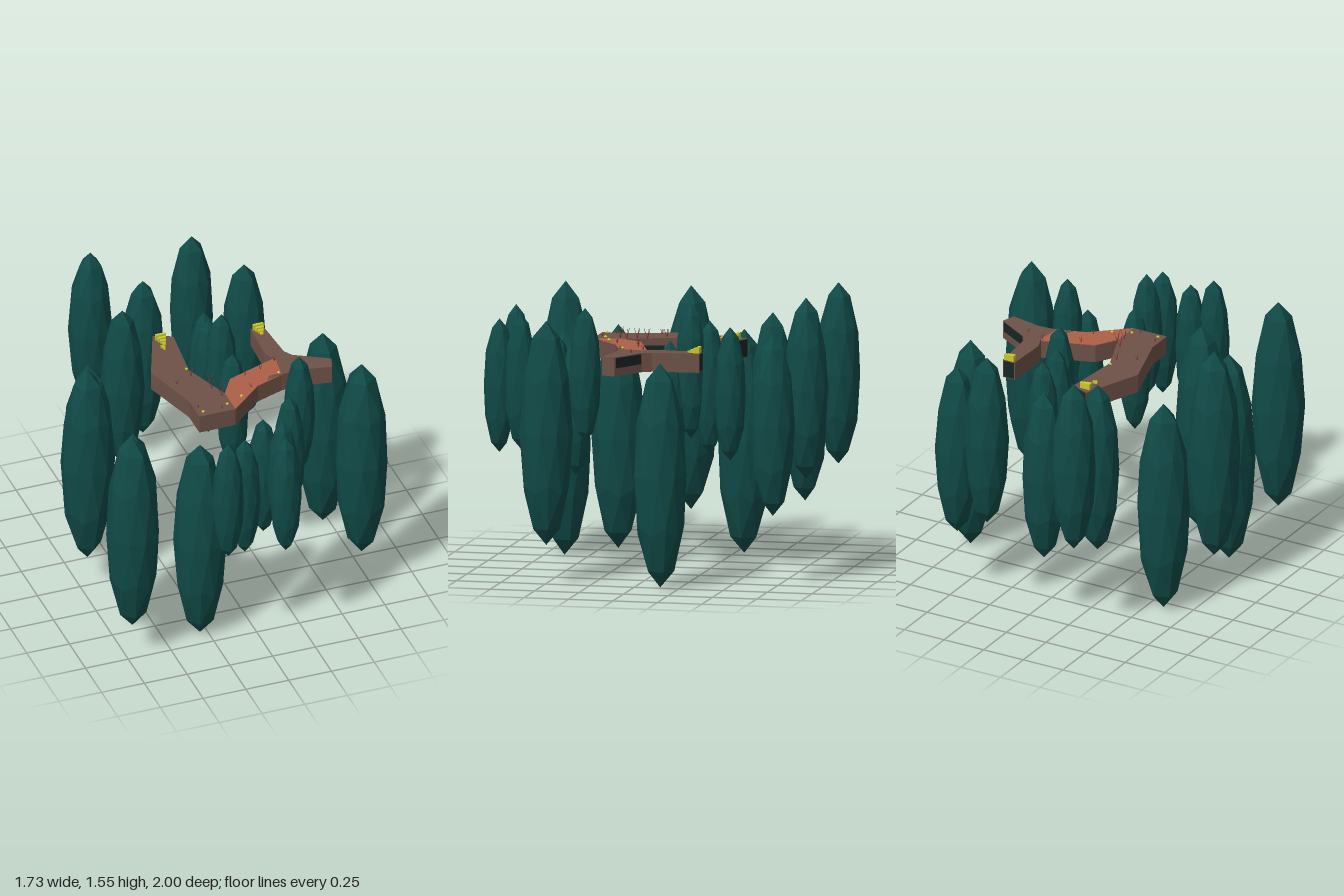
import * as THREE from 'three';

const mat = (name, color, extra = {}) => Object.assign(new THREE.MeshStandardMaterial({ color, flatShading: true, ...extra }), { name });

export function createModel() {
  const model = new THREE.Group();
  const teal = mat('deep teal', 0x104a47);
  const brown = mat('earth brown', 0x6d5147);
  const orange = mat('clay orange', 0xae5f48);
  const dark = mat('hollow dark', 0x192424);
  const yellow = mat('crystal yellow', 0xcbc82c);
  const red = mat('twig red', 0x7d3a2c);

  const add = (name, geo, material, parent = model) => {
    const m = new THREE.Mesh(geo, material);
    m.name = name;
    parent.add(m);
    return m;
  };

  // Faceted spindle trees: [x, z, bottom]; one size per list
  const spindle = new THREE.IcosahedronGeometry(1, 1);
  spindle.rotateZ(Math.atan(2 / (1 + Math.sqrt(5)))); // a corner at the very top
  const trees = [
    ['largeTree', 0.147, 0.62, [
      [-0.59, -0.30, 0], [-0.72, 0.03, 0.21], [-0.595, 0.41, 0], [-0.72, 0.735, 0.21],
      [-0.29, 0.64, 0], [0.72, -0.14, 0], [0.705, 0.505, 0.21]]],
    ['mediumTree', 0.122, 0.502, [
      [-0.36, -0.885, 0.55], [-0.10, -0.76, 0.38], [0.215, -0.84, 0.55], [0.475, -0.715, 0.38], [-0.305, -0.53, 0.38]]],
    ['smallTree', 0.088, 0.37, [
      [0.12, -0.39, 0.62], [0.10, -0.27, 0.65], [0.14, -0.175, 0.74], [0.165, -0.065, 0.54],
      [0.31, 0.435, 0.54], [0.395, 0.36, 0.74], [0.10, 0.585, 0.54], [0.14, 0.785, 0.65],
      [0.11, 0.91, 0.62], [-0.105, 0.845, 0.62], [-0.22, 0.895, 0.65]]],
  ];
  for (const [name, r, half, spots] of trees) {
    spots.forEach(([x, z, y0], i) => {
      const t = add(name, spindle, teal);
      t.scale.set(r, half, r);
      t.position.set(x, y0 + half, z);
      t.rotation.y = i * 1.1;
    });
  }

  // Raised path slabs, extruded upwards from plan outlines of [x, z]
  const Y0 = 1.15, Y1 = 1.255;
  const slab = (name, pts, y0, y1, material) => {
    const shape = new THREE.Shape(pts.map(([x, z]) => new THREE.Vector2(x, -z)));
    const g = new THREE.ExtrudeGeometry(shape, { depth: y1 - y0, bevelEnabled: false });
    g.rotateX(-Math.PI / 2).translate(0, y0, 0);
    return add(name, g, material);
  };
  const longPath = [[-0.17, -0.42], [-0.065, -0.375], [-0.10, -0.04], [0.005, 0.24],
    [0.005, 0.405], [-0.205, 0.405], [-0.205, 0.25], [-0.305, -0.085]];
  const bridge = [[0.005, 0.24], [0.08, 0.12], [0.365, 0.02], [0.38, 0.04], [0.36, 0.18], [0.2, 0.235], [0.005, 0.405]];
  const forkPath = [[0.355, -0.29], [0.43, -0.29], [0.45, -0.03], [0.48, 0.02], [0.67, 0.13], [0.645, 0.205],
    [0.465, 0.17], [0.36, 0.18], [0.38, 0.04], [0.345, -0.045]];
  slab('longPath', longPath, Y0, Y1, brown);
  slab('forkPath', forkPath, Y0, Y1, brown);
  slab('bridge', bridge, Y0, Y1 - 0.004, brown);
  slab('bridgeTop', bridge, Y1 - 0.004, Y1, orange);
  slab('bridgePatch', [[0.27, 0.2], [0.29, 0.17], [0.36, 0.16], [0.36, 0.18]], Y1, Y1 + 0.002, brown);

  // Dark hollows: thin plates along a wall edge
  const hollow = ([ax, az], [bx, bz], y0, y1) => {
    const g = new THREE.BoxGeometry(Math.hypot(bx - ax, bz - az), y1 - y0, 0.004);
    const m = add('hollow', g, dark);
    m.position.set((ax + bx) / 2, (y0 + y1) / 2, (az + bz) / 2);
    m.rotation.y = -Math.atan2(bz - az, bx - ax);
  };
  hollow([0.36, -0.29], [0.425, -0.29], 1.155, 1.25);
  hollow([-0.165, -0.418], [-0.07, -0.377], 1.155, 1.25);
  hollow([0.487, 0.024], [0.66, 0.124], 1.195, 1.25);
  hollow([-0.075, 0.027], [-0.025, 0.16], 1.16, 1.215);

  // Yellow crystal fans, wide and tall at the path tip
  const fan = (x, z, s) => {
    const group = new THREE.Group();
    group.name = 'crystalFan';
    [[0.06, 0.034, 0], [0.045, 0.026, 0.02], [0.03, 0.018, 0.038], [0.016, 0.01, 0.054]].forEach(([w, h, dz]) => {
      add('crystalRow', new THREE.BoxGeometry(w, h, 0.016).translate(0, h / 2, dz), yellow, group);
    });
    group.scale.setScalar(s);
    group.position.set(x, Y1, z);
    model.add(group);
  };
  fan(-0.14, -0.375, 1);
  fan(0.395, -0.28, 1);
  fan(-0.155, -0.295, 0.45);
  const chip = new THREE.OctahedronGeometry(0.011);
  for (const [x, z] of [[-0.11, -0.05], [0.35, 0.16], [0.08, 0.3], [-0.17, 0.37], [-0.02, 0.345]]) {
    add('crystalChip', chip, yellow).position.set(x, Y1 + 0.004, z);
  }

  // Small bare twigs, each three thin leaning stems
  const twig = (x, z, h) => {
    const group = new THREE.Group();
    group.name = 'twig';
    for (let i = 0; i < 3; i++) {
      const stem = add('stem', new THREE.CylinderGeometry(0.001, 0.002, h, 4).translate(0, h / 2, 0), red, group);
      stem.rotation.set(0.35 * Math.cos(i * 2.1), 0, 0.35 * Math.sin(i * 2.1));
    }
    group.position.set(x, Y1, z);
    model.add(group);
  };
  [[-0.02, 0.26, 0.065], [-0.045, 0.17, 0.06], [0, 0.22, 0.06], [-0.03, 0.11, 0.06], [-0.11, 0.02, 0.05],
    [-0.21, 0.07, 0.03], [-0.18, 0.32, 0.02], [-0.06, 0.37, 0.02], [0.17, 0.115, 0.03], [0.27, 0.09, 0.03],
    [0.16, 0.235, 0.025], [0.37, 0.04, 0.03], [0.48, 0.08, 0.02]].forEach(([x, z, h]) => twig(x, z, h));

  return model;
}
